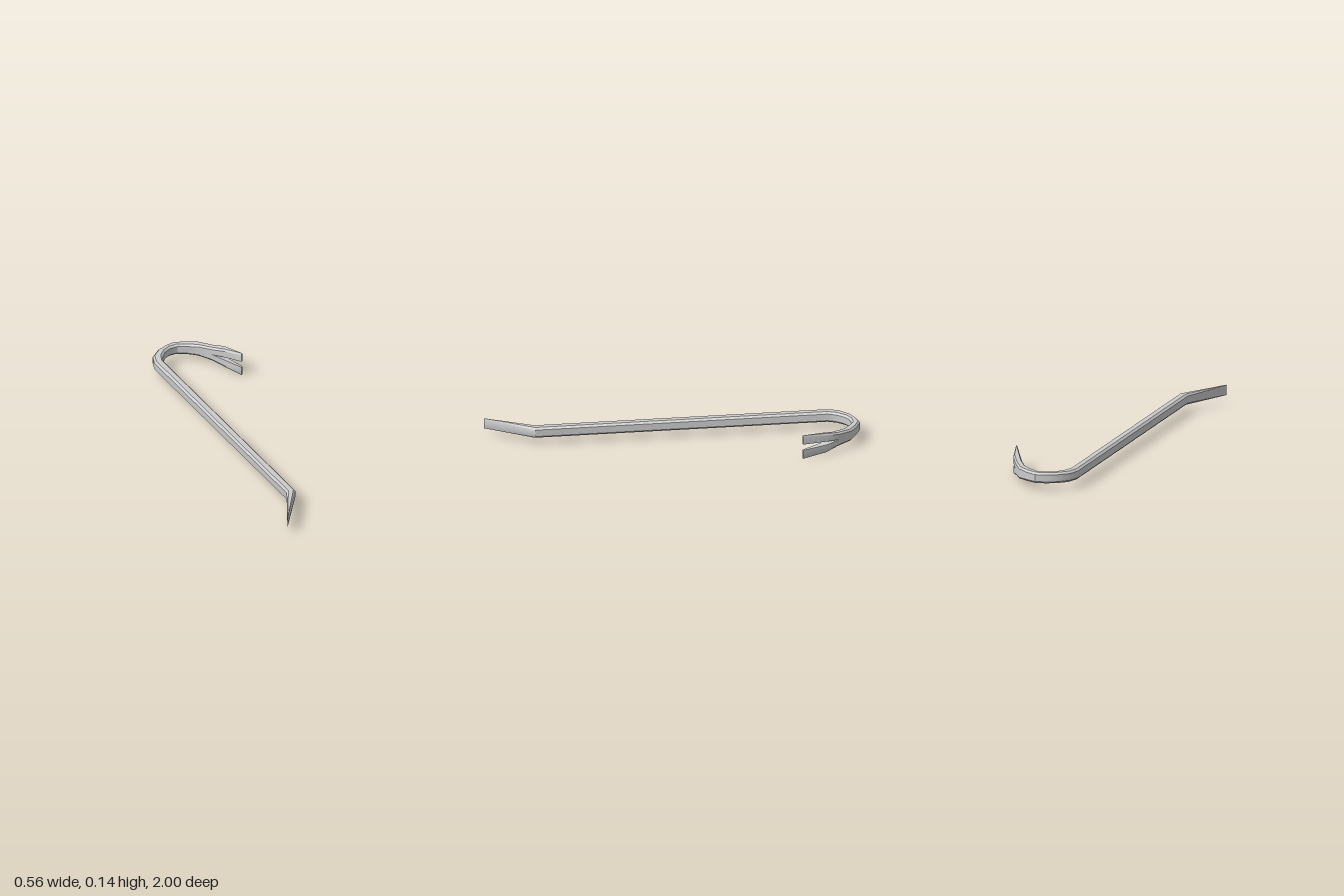
import * as THREE from 'three';
import { toCreasedNormals } from 'three/addons/utils/BufferGeometryUtils.js';

const MID_Y = 0.068;

// Stations from chisel tip to claw tips:
// outer x, outer z, inner x, inner z, half height, chamfer, half width of the claw notch
const STATIONS = [
  [-0.280, 1.000, -0.277, 0.999, 0.029, 0.001, 0],
  [-0.157, 0.745, -0.105, 0.745, 0.030, 0.011, 0],
  [-0.157, -0.845, -0.105, -0.840, 0.030, 0.011, 0],
  [-0.135, -0.910, -0.087, -0.885, 0.030, 0.011, 0],
  [-0.077, -0.963, -0.050, -0.928, 0.030, 0.011, 0],
  [-0.022, -0.988, -0.010, -0.949, 0.030, 0.011, 0],
  [0.030, -1.000, 0.034, -0.952, 0.030, 0.011, 0],
  [0.090, -0.975, 0.082, -0.926, 0.031, 0.011, 0],
  [0.150, -0.937, 0.130, -0.890, 0.034, 0.010, 0],
  [0.200, -0.862, 0.177, -0.820, 0.040, 0.010, 0],
  [0.237, -0.797, 0.220, -0.746, 0.055, 0.010, 0.009],
  [0.279, -0.658, 0.270, -0.653, 0.068, 0.010, 0.017],
];

// Upper half of a chamfered section; side = -1 gives the lower half
function halfSection([ox, oz, ix, iz, h, c, notch], side) {
  const k = Math.min(0.45, c / Math.hypot(ix - ox, iz - oz));
  return [[0, notch], [0, h - c], [k, h], [1 - k, h], [1, h - c], [1, notch]].map(([t, y]) =>
    new THREE.Vector3(ox + (ix - ox) * t, MID_Y + side * y, oz + (iz - oz) * t));
}

export function createModel() {
  const positions = [];
  const tri = (a, b, c, side) => {
    for (const p of side > 0 ? [a, b, c] : [a, c, b]) positions.push(p.x, p.y, p.z);
  };
  const cap = (pts, side) => {
    for (let j = 1; j < pts.length - 1; j++) tri(pts[0], pts[j], pts[j + 1], side);
  };

  // Loft both mirrored halves, noting where each segment's vertices begin
  const starts = [];
  const last = STATIONS.length - 1;
  for (let i = 0; i < last; i++) {
    starts.push(positions.length / 3);
    for (const side of [1, -1]) {
      const a = halfSection(STATIONS[i], side);
      const b = halfSection(STATIONS[i + 1], side);
      if (i === 0) cap(a, -side);
      // The sixth strip is the wall inside the notch
      const strips = STATIONS[i + 1][6] > 0 ? 6 : 5;
      for (let j = 0; j < strips; j++) {
        const n = (j + 1) % 6;
        tri(a[j], a[n], b[n], side);
        tri(a[j], b[n], b[j], side);
      }
      if (i === last - 1) cap(b, side);
    }
  }
  starts.push(positions.length / 3);

  const whole = new THREE.BufferGeometry();
  whole.setAttribute('position', new THREE.Float32BufferAttribute(positions, 3));
  const creased = toCreasedNormals(whole, 0.56);

  // Divide the bar into named parts, keeping the shared smooth normals
  const material = new THREE.MeshStandardMaterial({ color: 0xcccccc });
  const group = new THREE.Group();
  group.name = 'pryBar';
  const parts = [['chiselEnd', 0, 1], ['shank', 1, 2], ['hook', 2, 9], ['splitClaw', 9, last]];
  for (const [name, from, to] of parts) {
    const geometry = new THREE.BufferGeometry();
    for (const key of ['position', 'normal']) {
      const part = creased.getAttribute(key).array.slice(starts[from] * 3, starts[to] * 3);
      geometry.setAttribute(key, new THREE.BufferAttribute(part, 3));
    }
    const mesh = new THREE.Mesh(geometry, material);
    mesh.name = name;
    group.add(mesh);
  }
  return group;
}
